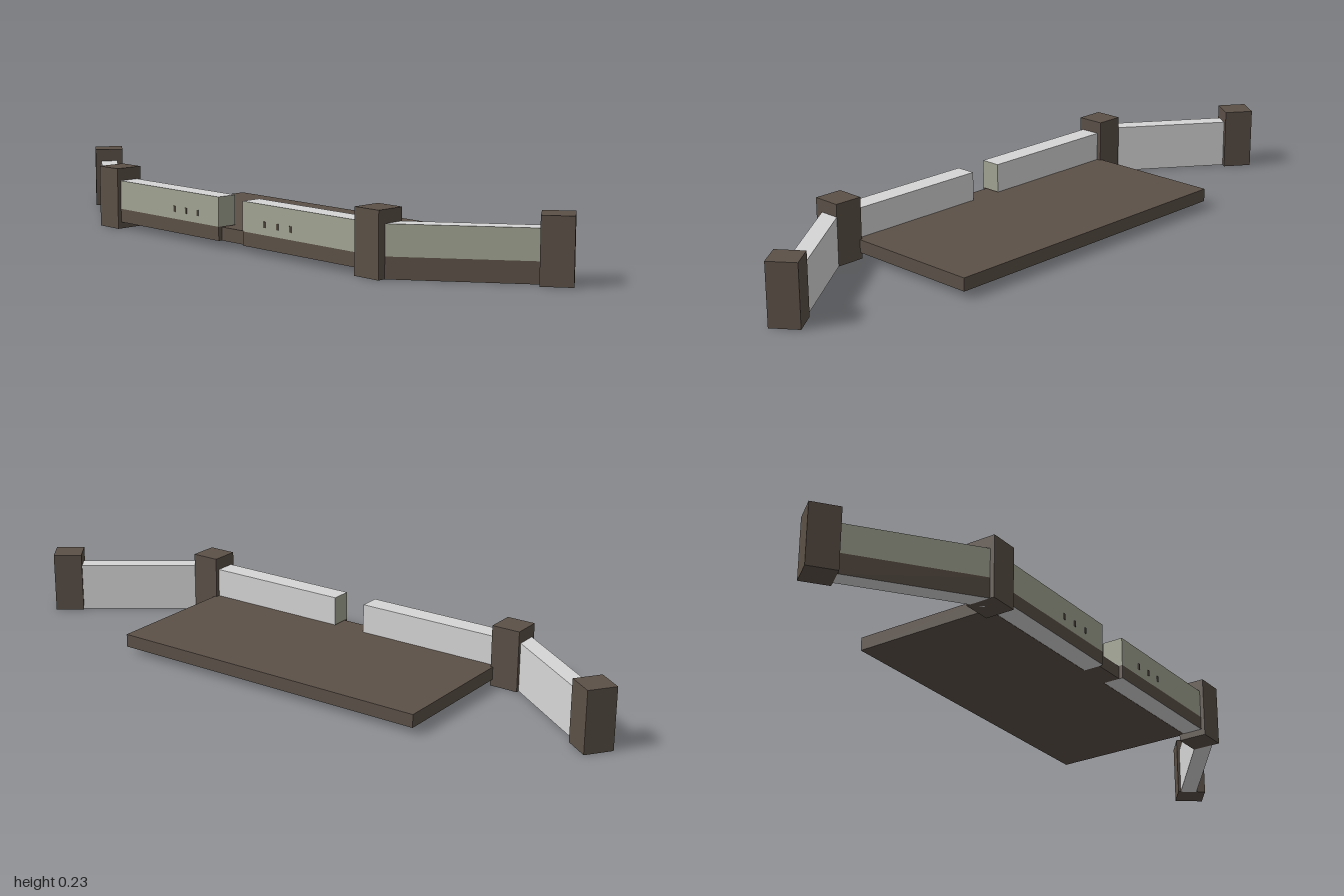
import * as THREE from 'three';

const mat = (name, color) => {
  const m = new THREE.MeshStandardMaterial({ color });
  m.name = name;
  return m;
};

export function createModel() {
  const white = mat('pale plaster', 0xd6d6d6);
  const olive = mat('olive stone', 0xa2a493);
  const brown = mat('dark brown', 0x5b5047);

  const model = new THREE.Group();
  model.name = 'walledPlatform';

  function box(parent, name, size, pos, material) {
    const mesh = new THREE.Mesh(new THREE.BoxGeometry(...size), material);
    mesh.name = name;
    mesh.position.set(...pos);
    parent.add(mesh);
    return mesh;
  }

  // Frame whose local x runs along a wall and local z points outward
  function frame(name, x, z, angle) {
    const g = new THREE.Group();
    g.name = name;
    g.position.set(x, 0, z);
    g.rotation.y = angle;
    model.add(g);
    return g;
  }

  // Wall: brown base and olive upper face outside, pale top and inside
  const BASE = 0.077, TOP = 0.187;
  function wall(parent, x0, x1, z0, z1, bottom) {
    const bands = [['wallBase', bottom, BASE, brown], ['wallUpper', BASE, TOP, olive]];
    for (const [name, y0, y1, face] of bands) {
      box(parent, name, [x1 - x0, y1 - y0, z1 - z0],
        [(x0 + x1) / 2, (y0 + y1) / 2, (z0 + z1) / 2],
        [face, face, white, white, face, white]);
    }
  }

  const POST = 0.112, POST_H = 0.235;
  const post = (parent, x, z) =>
    box(parent, 'post', [POST, POST_H, POST], [x, POST_H / 2, z], brown);

  // Main section: slab, doorstep, gate walls and posts
  const main = frame('mainSection', -0.225, 0.162, -0.902);
  box(main, 'floorSlab', [1.306, 0.05, 0.556], [0, 0.05, -0.27], brown);
  box(main, 'doorstep', [0.132, 0.05, 0.066], [0, 0.05, 0.041], brown);
  for (const s of [-1, 1]) {
    const ends = [s * 0.066, s * 0.66].sort((a, b) => a - b);
    wall(main, ends[0], ends[1], 0.009, 0.089, 0.025);
    post(main, s * 0.7, 0.048);
    // Three narrow slits on each gate wall
    for (const i of [-1, 0, 1]) {
      box(main, 'slit', [0.009, 0.022, 0.004], [s * 0.25 + i * 0.067, 0.115, 0.09], brown);
    }
  }

  // Angled side walls with their end posts
  const rightWing = frame('rightWing', -0.752, -0.945, -1.531);
  post(rightWing, 0, 0);
  wall(rightWing, 0.05, 0.57, -0.033, 0.033, 0);

  const leftWing = frame('leftWing', 0.737, 0.928, -0.262);
  post(leftWing, 0, 0);
  wall(leftWing, -0.57, -0.05, -0.046, 0.02, 0);

  return model;
}
